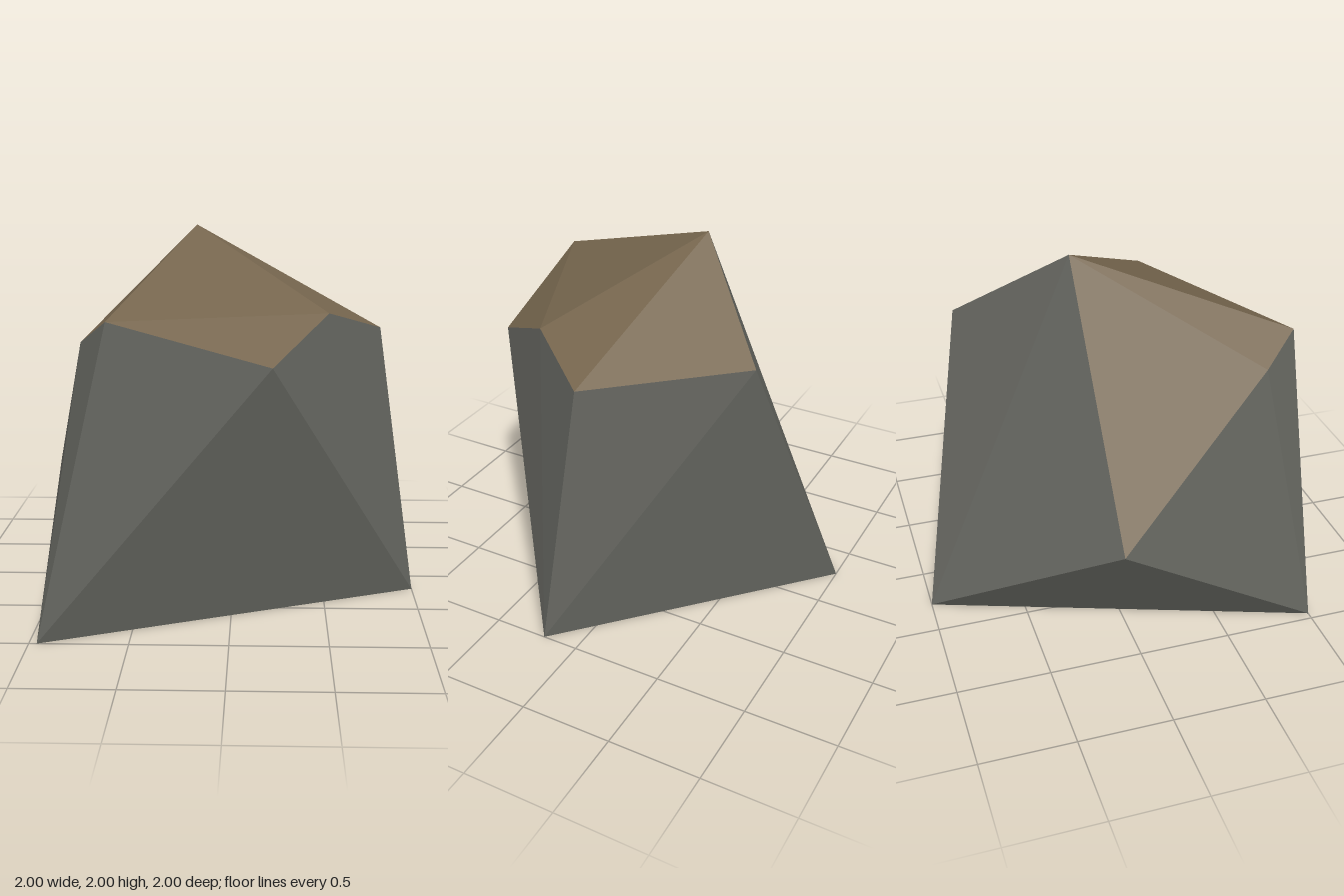
import * as THREE from 'three';

// Corner points of the faceted boulder
const P = {
  baseLeft: [-0.96, 0, 1], baseRight: [1, 0, 0.2], baseBack: [-0.28, 0, -1],
  side: [-1, 0.66, -0.1], shoulder: [-0.74, 1.48, 0.73],
  frontLeft: [-0.59, 1.61, 0.93], frontRight: [0.21, 1.38, 0.88],
  ridge: [0.5, 1.59, 0.46], right: [0.8, 1.46, 0.07],
  back: [0.29, 1.53, -0.68], peak: [-0.21, 2, -0.16],
};
const CENTRE = new THREE.Vector3(0, 0.9, 0);

// Builds a mesh from named triangles, turning each one to face away from the centre
function facets(name, material, triangles) {
  const points = [];
  for (const names of triangles) {
    const [a, b, c] = names.split(' ').map((n) => new THREE.Vector3(...P[n]));
    const normal = new THREE.Triangle(a, b, c).getNormal(new THREE.Vector3());
    points.push(...(normal.dot(a.clone().sub(CENTRE)) > 0 ? [a, b, c] : [a, c, b]));
  }
  const geometry = new THREE.BufferGeometry().setFromPoints(points);
  geometry.computeVertexNormals();
  const mesh = new THREE.Mesh(geometry, material);
  mesh.name = name;
  return mesh;
}

export function createModel() {
  const stone = new THREE.MeshStandardMaterial({ color: 0x64655f });
  stone.name = 'grey stone';
  const earth = new THREE.MeshStandardMaterial({ color: 0x75654d });
  earth.name = 'brown earth';

  const group = new THREE.Group();
  group.name = 'boulder';

  group.add(facets('rockSides', stone, [
    // front
    'baseLeft baseRight frontRight', 'baseLeft frontRight frontLeft',
    // left
    'baseLeft frontLeft shoulder', 'baseLeft shoulder side', 'baseLeft side baseBack',
    // back
    'baseBack side peak', 'baseBack peak back',
    // right
    'baseRight baseBack back', 'baseRight back right',
    'baseRight right ridge', 'baseRight ridge frontRight',
  ]));
  group.add(facets('rockUnderside', stone, ['baseLeft baseRight baseBack']));
  group.add(facets('rockTop', earth, [
    'frontLeft frontRight ridge', 'peak frontLeft ridge',
    'peak ridge right', 'peak right back',
    'peak shoulder frontLeft', 'peak side shoulder',
  ]));
  return group;
}
